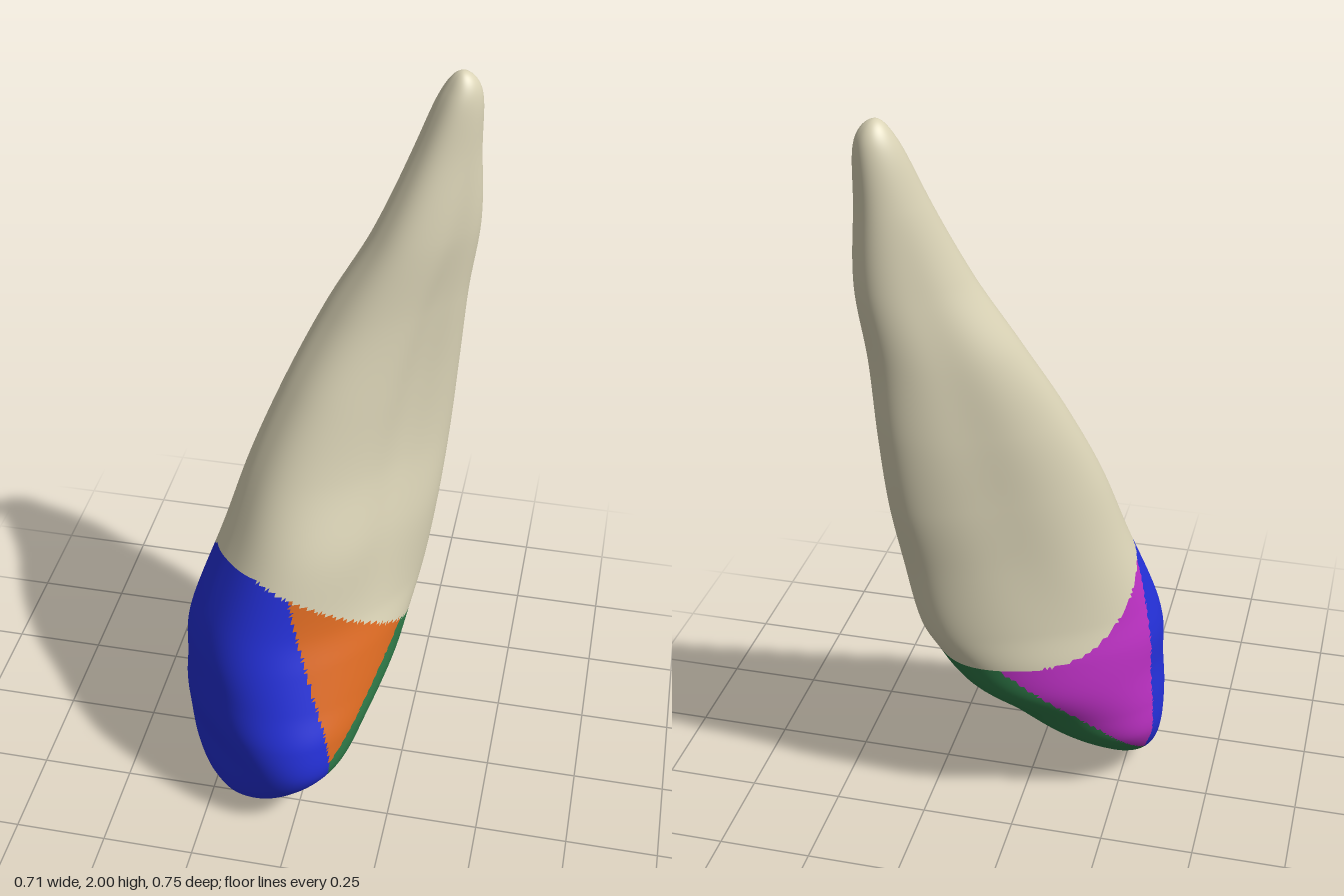
import * as THREE from 'three';

// Cross-sections up the tooth: height, centre (u, v), half sizes (a along u, b along v),
// labial widening t, skew k, groove depth g.
// u runs from the labial face to the lingual face, v from one side to the other.
const SECTIONS = [
  [0.00, -0.29, 0.005, 0.00, 0.00, 0.05, 0.00, 0],
  [0.03, -0.275, 0.007, 0.06, 0.105, 0.05, 0.00, 0],
  [0.10, -0.235, 0.014, 0.115, 0.205, 0.06, 0.00, 0],
  [0.20, -0.175, 0.02, 0.18, 0.275, 0.08, 0.00, 0],
  [0.30, -0.13, 0.015, 0.235, 0.275, 0.10, 0.01, 0],
  [0.40, -0.075, 0.00, 0.285, 0.255, 0.12, 0.02, 0],
  [0.50, -0.04, -0.01, 0.31, 0.23, 0.18, 0.06, 0],
  [0.60, 0.00, -0.014, 0.32, 0.20, 0.25, 0.08, 0.004],
  [0.80, 0.065, -0.014, 0.30, 0.175, 0.25, 0.09, 0.02],
  [1.00, 0.13, -0.03, 0.28, 0.145, 0.20, 0.10, 0.025],
  [1.20, 0.195, -0.035, 0.24, 0.13, 0.15, 0.10, 0.025],
  [1.40, 0.262, -0.03, 0.187, 0.115, 0.10, 0.11, 0.018],
  [1.60, 0.332, -0.01, 0.142, 0.095, 0.05, 0.04, 0.008],
  [1.80, 0.378, -0.005, 0.088, 0.07, 0.00, 0.00, 0],
  [1.95, 0.407, 0.003, 0.048, 0.046, 0.00, 0.00, 0],
  [2.00, 0.407, 0.005, 0.00, 0.00, 0.00, 0.00, 0],
];
const ROWS = 270, COLS = 150;

// Rows bunch up toward both tips so that they round off smoothly
const toS = (y) => Math.acos(1 - y) / Math.PI;
const KNOTS = SECTIONS.map((r) => toS(r[0]));

// Smooth interpolation of one column of the section table
function sample(s, col) {
  let i = 0;
  while (i < KNOTS.length - 2 && s > KNOTS[i + 1]) i++;
  const last = KNOTS.length - 1;
  const slope = (j) => {
    const lo = Math.max(0, j - 1), hi = Math.min(last, j + 1);
    return (SECTIONS[hi][col] - SECTIONS[lo][col]) / (KNOTS[hi] - KNOTS[lo]);
  };
  const h = KNOTS[i + 1] - KNOTS[i], q = (s - KNOTS[i]) / h;
  const q2 = q * q, q3 = q2 * q;
  return (2 * q3 - 3 * q2 + 1) * SECTIONS[i][col] + (q3 - 2 * q2 + q) * h * slope(i)
    + (3 * q2 - 2 * q3) * SECTIONS[i + 1][col] + (q3 - q2) * h * slope(i + 1);
}

// Point on the tooth as [u, y, v]
function surfacePoint(s, angle) {
  const [uc, vc, a, b, t, k, g] = [1, 2, 3, 4, 5, 6, 7].map((c) => sample(s, c));
  const c = Math.cos(angle), n = Math.sin(angle);
  const side = Math.sign(n) * Math.pow(Math.abs(n), 0.8);
  // Shallow lengthwise groove in each side of the root, deeper on the +v side
  const groove = g * Math.exp(-Math.pow((c - 0.25) / 0.35, 2)) * (n > 0 ? 1 : -0.4);
  return [uc + a * c, 1 - Math.cos(Math.PI * s), vc + b * side * (1 - t * c) + k * a * c - groove];
}

// Which part of the tooth a point belongs to
function regionAt(u, y, v) {
  const w = THREE.MathUtils.clamp((0.2 - u) / 0.44, 0, 1);
  const power = THREE.MathUtils.clamp(2.1 - 5 * v, 1.3, 3.2);
  if (y > 0.5 + 0.26 * Math.pow(w, power)) return 'root';
  if (u < -0.2 + 0.13 * v - Math.max(0, 0.15 - y) * 0.5) return 'labialFace';
  if (y < 0.35 + 0.87 * u + 0.12 * v) return 'lingualFace';
  return v > 0 ? 'leftSideFace' : 'rightSideFace';
}

const COLOURS = {
  root: ['cream', 0xdad3b6],
  labialFace: ['blue', 0x2430d8],
  leftSideFace: ['orange', 0xdc6a22],
  rightSideFace: ['magenta', 0xbb30c2],
  lingualFace: ['green', 0x2f7a48],
};

export function createModel() {
  const group = new THREE.Group();
  group.name = 'tooth';

  // Closed surface of stacked rings
  const local = [], positions = [], all = [];
  for (let r = 0; r <= ROWS; r++) {
    for (let c = 0; c < COLS; c++) {
      const p = surfacePoint(r / ROWS, (c / COLS) * Math.PI * 2);
      local.push(p);
      positions.push((p[0] + p[2]) * Math.SQRT1_2, p[1], (p[2] - p[0]) * Math.SQRT1_2);
    }
  }

  // Sort every triangle into its part by its centre
  const indices = Object.fromEntries(Object.keys(COLOURS).map((name) => [name, []]));
  const addTriangle = (...tri) => {
    const mid = [0, 1, 2].map((d) => tri.reduce((sum, i) => sum + local[i][d], 0) / 3);
    indices[regionAt(...mid)].push(...tri);
    all.push(...tri);
  };
  for (let r = 0; r < ROWS; r++) {
    for (let c = 0; c < COLS; c++) {
      const a = r * COLS + c, b = r * COLS + (c + 1) % COLS;
      addTriangle(a, a + COLS, b);
      addTriangle(b, a + COLS, b + COLS);
    }
  }

  // Shared smooth normals keep the part borders seamless
  const whole = new THREE.BufferGeometry();
  whole.setAttribute('position', new THREE.Float32BufferAttribute(positions, 3));
  whole.setIndex(all);
  whole.computeVertexNormals();

  for (const [name, [colourName, hex]] of Object.entries(COLOURS)) {
    const geometry = new THREE.BufferGeometry();
    geometry.setAttribute('position', whole.getAttribute('position'));
    geometry.setAttribute('normal', whole.getAttribute('normal'));
    geometry.setIndex(indices[name]);
    const material = new THREE.MeshStandardMaterial({ color: hex });
    material.name = colourName;
    const mesh = new THREE.Mesh(geometry, material);
    mesh.name = name;
    group.add(mesh);
  }
  return group;
}
